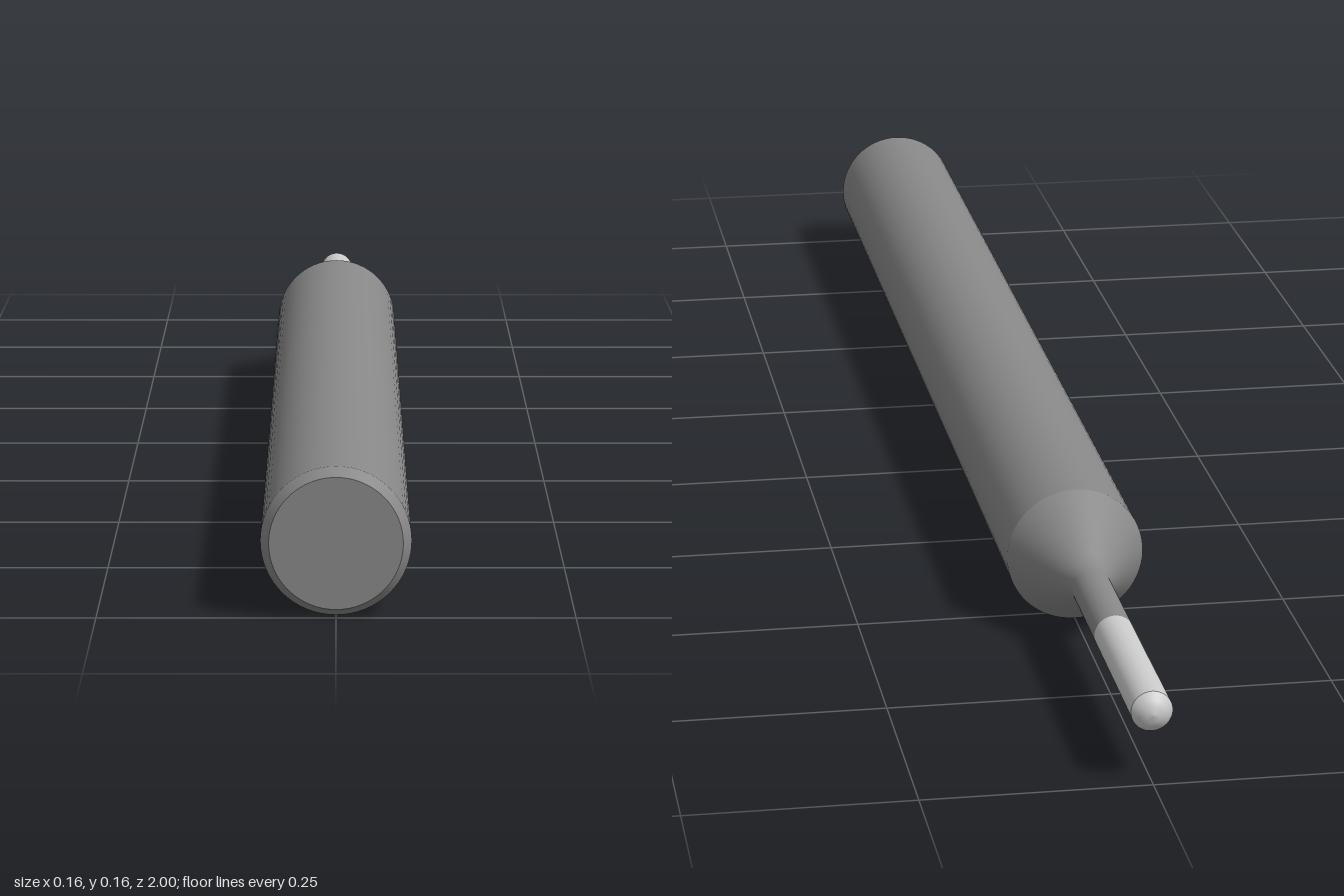
import * as THREE from 'three';
import { mergeGeometries } from 'three/addons/utils/BufferGeometryUtils.js';

const R = 0.079;      // shank radius
const N = 0.0225;     // neck and tip radius

// Revolves each [radius, z] strip about the z axis; edges between strips stay sharp.
function turned(name, color, strips) {
  const parts = strips.map(strip =>
    new THREE.LatheGeometry(strip.map(([r, z]) => new THREE.Vector2(r, z)), 64));
  const geometry = mergeGeometries(parts);
  geometry.rotateX(Math.PI / 2);
  const mesh = new THREE.Mesh(geometry, new THREE.MeshStandardMaterial({ color }));
  mesh.name = name;
  mesh.position.y = R;
  return mesh;
}

export function createModel() {
  const group = new THREE.Group();
  group.name = 'cuttingTool';

  // Cylindrical shank with a chamfered butt end
  group.add(turned('shank', 0x888888, [
    [[R, -0.52], [R, 0.985]],
    [[R, 0.985], [0.07, 1]],
    [[0.07, 1], [0, 1]],
  ]));

  // Slim neck, blended by a small fillet into the conical shoulder
  group.add(turned('neck', 0x888888, [
    [[N, -0.77], [N, -0.63], [0.0235, -0.62], [0.027, -0.61], [0.032, -0.601], [R, -0.52]],
  ]));

  // Brighter cutting tip with a shallow domed end
  group.add(turned('cuttingTip', 0xcccccc, [
    [[0, -1], [0.008, -0.9985], [0.015, -0.995], [N, -0.987]],
    [[N, -0.987], [N, -0.77]],
  ]));

  return group;
}
